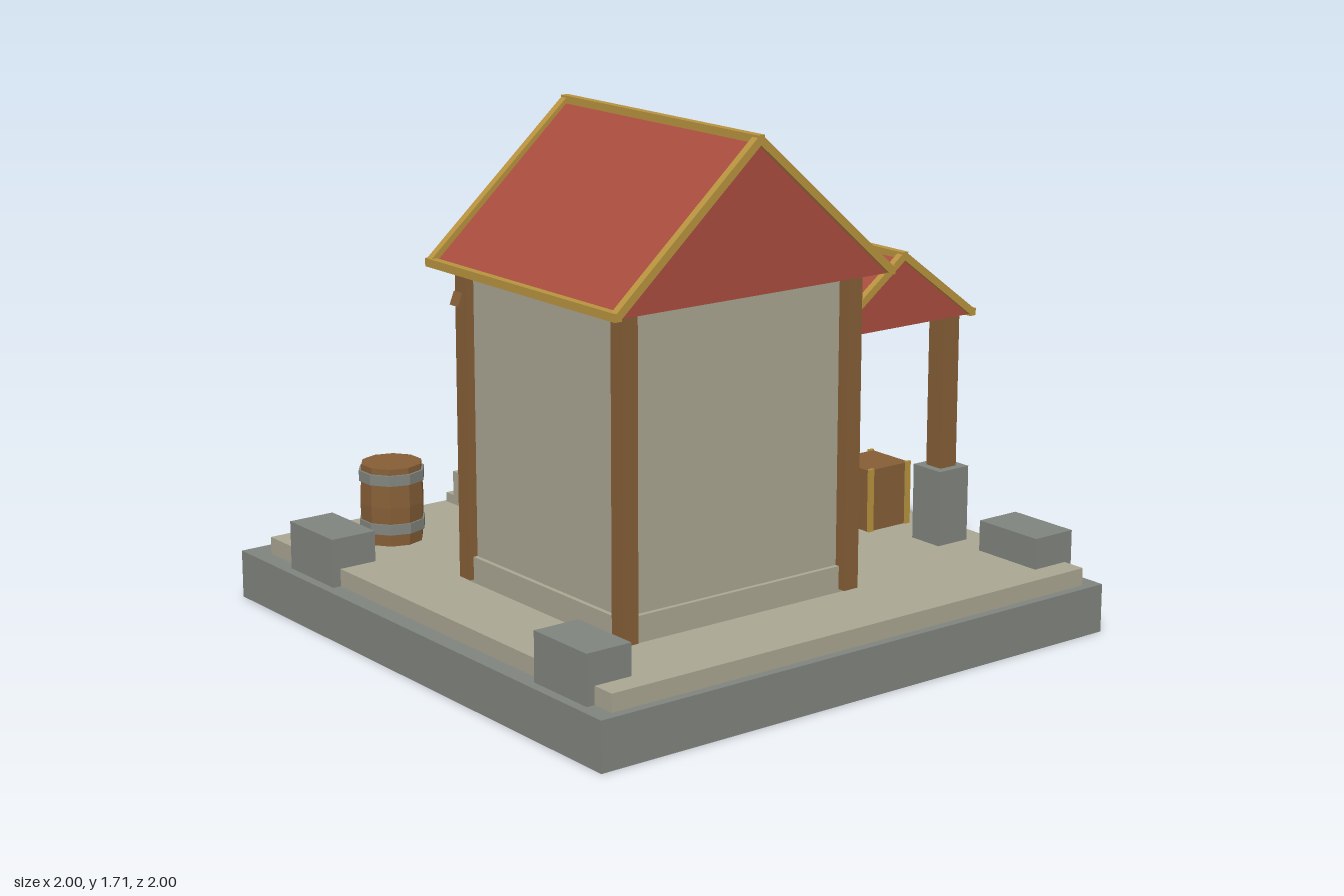
import * as THREE from 'three';

const paint = (name, color) => {
  const m = new THREE.MeshStandardMaterial({ color });
  m.name = name;
  return m;
};
const stone = paint('grey stone', 0x80847e);
const plaster = paint('pale plaster', 0xaaa692);
const wood = paint('brown wood', 0x855e36);
const red = paint('red roof', 0xa94d3e);
const gold = paint('gold trim', 0xb8933f);
const straw = paint('straw sack', 0xb48f45);
const teal = paint('teal', 0x1f938b);
const dark = paint('dark glass', 0x35383b);

function add(parent, name, geometry, material) {
  const mesh = new THREE.Mesh(geometry, material);
  mesh.name = name;
  parent.add(mesh);
  return mesh;
}

// Box given by its limits on each axis
function box(parent, name, material, [x0, x1], [y0, y1], [z0, z1]) {
  const mesh = add(parent, name, new THREE.BoxGeometry(x1 - x0, y1 - y0, z1 - z0), material);
  mesh.position.set((x0 + x1) / 2, (y0 + y1) / 2, (z0 + z1) / 2);
  return mesh;
}

// Square bar running between two points
function beam(parent, name, material, a, b, w, d = w) {
  const from = new THREE.Vector3(...a), to = new THREE.Vector3(...b);
  const mesh = add(parent, name, new THREE.BoxGeometry(w, d, from.distanceTo(to)), material);
  mesh.position.copy(from).add(to).multiplyScalar(0.5);
  mesh.lookAt(to);
  return mesh;
}

// Flat outline in x and y, extruded from z0 to z1
function plate(parent, name, material, points, z0, z1, hole) {
  const shape = new THREE.Shape(points.map(p => new THREE.Vector2(...p)));
  if (hole) shape.holes.push(new THREE.Path(hole.map(p => new THREE.Vector2(...p))));
  const geometry = new THREE.ExtrudeGeometry(shape, { depth: z1 - z0, bevelEnabled: false });
  geometry.translate(0, 0, z0);
  return add(parent, name, geometry, material);
}

// Faceted turned form
function turned(parent, name, material, profile, sides) {
  const lathe = new THREE.LatheGeometry(profile.map(p => new THREE.Vector2(...p)), sides);
  const geometry = lathe.toNonIndexed();
  geometry.computeVertexNormals();
  return add(parent, name, geometry, material);
}

// Solid gable roof with trim along ridge, eaves and slopes
function roof(parent, name, [x0, x1], [y0, y1], [z0, z1], t) {
  const g = new THREE.Group();
  g.name = name;
  parent.add(g);
  const xm = (x0 + x1) / 2;
  plate(g, 'roofBody', red, [[x0, y0], [x1, y0], [xm, y1]], z0, z1);
  beam(g, 'ridgeTrim', gold, [xm, y1, z0 - t / 2], [xm, y1, z1 + t / 2], t);
  for (const x of [x0, x1]) {
    beam(g, 'eaveTrim', gold, [x, y0 + t / 3, z0 - t / 2], [x, y0 + t / 3, z1 + t / 2], t);
    for (const z of [z0, z1]) beam(g, 'slopeTrim', gold, [x, y0 + t / 3, z], [xm, y1, z], t);
  }
}

function barrel(parent, x, z) {
  const g = new THREE.Group();
  g.name = 'barrel';
  g.position.set(x, 0.23, z);
  parent.add(g);
  turned(g, 'barrelBody', wood, [[0, 0], [0.101, 0], [0.107, 0.13], [0.101, 0.26], [0, 0.26]], 10);
  for (const y of [0.04, 0.205]) {
    turned(g, 'barrelBand', stone,
      [[0.1, y], [0.11, y], [0.11, y + 0.035], [0.1, y + 0.035]], 10);
  }
}

function crate(parent, x, z) {
  const g = new THREE.Group();
  g.name = 'crate';
  g.position.set(x, 0, z);
  parent.add(g);
  const r = 0.09, y0 = 0.23, y1 = 0.44;
  box(g, 'crateBody', wood, [-r, r], [y0, y1], [-r, r]);
  for (const s of [-1, 1]) {
    for (const e of [-1, 1]) {
      const cx = s * (r - 0.009), cz = e * (r + 0.002);
      box(g, 'crateStrip', gold, [cx - 0.01, cx + 0.01], [y0, y1 + 0.005], [cz - 0.005, cz + 0.005]);
    }
    beam(g, 'crateBrace', plaster, [-s * 0.075, y0 + 0.015, -r - 0.002],
      [s * 0.075, y1 - 0.015, -r - 0.002], 0.008, 0.016);
  }
}

export function createModel() {
  const model = new THREE.Group();
  model.name = 'marketHouse';

  // Ground slabs, corner blocks and steps
  box(model, 'base', stone, [-1, 1], [0, 0.16], [-1, 1]);
  box(model, 'floor', plaster, [-0.94, 0.94], [0.16, 0.218], [-0.91, 0.97]);
  for (const s of [-1, 1]) {
    const x = s * 0.888;
    for (const z of [-0.605, 0.76]) {
      box(model, 'cornerBlock', stone, [x - 0.08, x + 0.08], [0.16, 0.32], [z - 0.129, z + 0.129]);
    }
  }
  box(model, 'upperStep', plaster, [-0.25, 0.25], [0.2, 0.335], [-0.857, -0.74]);
  box(model, 'middleStep', plaster, [-0.25, 0.25], [0.17, 0.25], [-0.9, -0.85]);
  box(model, 'lowerStep', plaster, [-0.25, 0.25], [0.1, 0.17], [-0.95, -0.89]);

  // House walls and posts
  const house = new THREE.Group();
  house.name = 'house';
  model.add(house);
  box(house, 'walls', plaster, [-0.67, 0.185], [0.225, 1.24], [-0.11, 0.665]);
  box(house, 'wallFooting', plaster, [-0.685, 0.2], [0.22, 0.305], [-0.125, 0.68]);
  for (const x of [-0.672, 0.187]) {
    for (const z of [-0.122, 0.678]) {
      box(house, 'cornerPost', wood, [x - 0.028, x + 0.028], [0.23, 1.24], [z - 0.028, z + 0.028]);
    }
  }
  roof(house, 'houseRoof', [-0.76, 0.28], [1.235, 1.7], [-0.19, 0.755], 0.026);

  // Back entrance, built around x = 0 and mirrored
  const entry = new THREE.Group();
  entry.name = 'entrance';
  entry.position.x = -0.2425;
  house.add(entry);
  const outer = [[-0.2, 0.23], [0.2, 0.23], [0.2, 0.73], [0.245, 0.73], [0.245, 0.77],
    [0, 0.93], [-0.245, 0.77], [-0.245, 0.73], [-0.2, 0.73]].map(([x, y]) => [x * 1.15, y])
    .map(([x, y]) => [Math.sign(x) * Math.min(Math.abs(x), 0.255), y]);
  const opening = [[-0.19, 0.24], [0.19, 0.24], [0.19, 0.72], [0, 0.85], [-0.19, 0.72]];
  plate(entry, 'doorFrame', stone, outer, -0.215, -0.1, opening);
  plate(entry, 'door', wood, opening, -0.2, -0.1);
  for (const y of [0.4, 0.72]) {
    box(entry, 'doorStrap', gold, [-0.19, 0.19], [y - 0.013, y + 0.013], [-0.233, -0.198]);
  }
  for (const s of [-1, 1]) {
    beam(entry, 'wallBrace', wood, [s * 0.42, 1.21, -0.128], [s * 0.08, 0.88, -0.128], 0.045, 0.045);
    const x = s * 0.33;
    box(entry, 'wallRail', wood, [x - 0.1, x + 0.1], [0.66, 0.7], [-0.17, -0.1]);
    const arch = k => [[x - k, 0.7], [x + k, 0.7], [x + k, 0.775 + k / 2],
      [x, 0.82 + k * 1.4], [x - k, 0.775 + k / 2]];
    plate(entry, 'windowFrame', stone, arch(0.043), -0.155, -0.1);
    plate(entry, 'windowPane', dark, arch(0.029), -0.16, -0.153);
    box(entry, 'windowBar', gold, [x - 0.004, x + 0.004], [0.7, 0.83], [-0.164, -0.158]);
  }

  // Layered diamond ornament above the door
  const diamond = (name, material, w, h, z0, z1) =>
    plate(entry, name, material, [[0, 1.15 - h], [w, 1.15], [0, 1.15 + h], [-w, 1.15]], z0, z1);
  diamond('diamondBorder', gold, 0.12, 0.205, -0.244, -0.241);
  diamond('diamondPanel', teal, 0.09, 0.155, -0.247, -0.243);
  diamond('diamondOutline', dark, 0.062, 0.105, -0.249, -0.246);
  diamond('diamondCentre', teal, 0.053, 0.09, -0.254, -0.248);

  // Open shed
  const shed = new THREE.Group();
  shed.name = 'shed';
  model.add(shed);
  for (const x of [0.318, 0.796]) {
    for (const z of [-0.329, 0.454]) {
      box(shed, 'shedPost', wood, [x - 0.034, x + 0.034], [0.24, 0.99], [z - 0.034, z + 0.034]);
      box(shed, 'postFooting', stone, [x - 0.063, x + 0.063], [0.218, 0.47], [z - 0.063, z + 0.063]);
    }
  }
  roof(shed, 'shedRoof', [0.257, 0.858], [0.98, 1.212], [-0.39, 0.51], 0.024);

  // Stored goods
  for (const [x, z] of [[0.48, 0.195], [0.72, 0.195], [0.48, -0.08], [0.72, -0.08], [0.48, -0.365]]) {
    crate(model, x, z);
  }
  for (const [z, r] of [[-0.2, 0.078], [-0.39, 0.065]]) {
    const sack = turned(model, 'sack', straw,
      [[0, 0], [0.55 * r, 0.04], [r, 0.16], [0.45 * r, 0.25], [0, 0.3]], 6);
    sack.position.set(0.78, 0.365, z);
  }
  barrel(model, -0.645, -0.625);
  barrel(model, 0.535, -0.685);

  return model;
}
